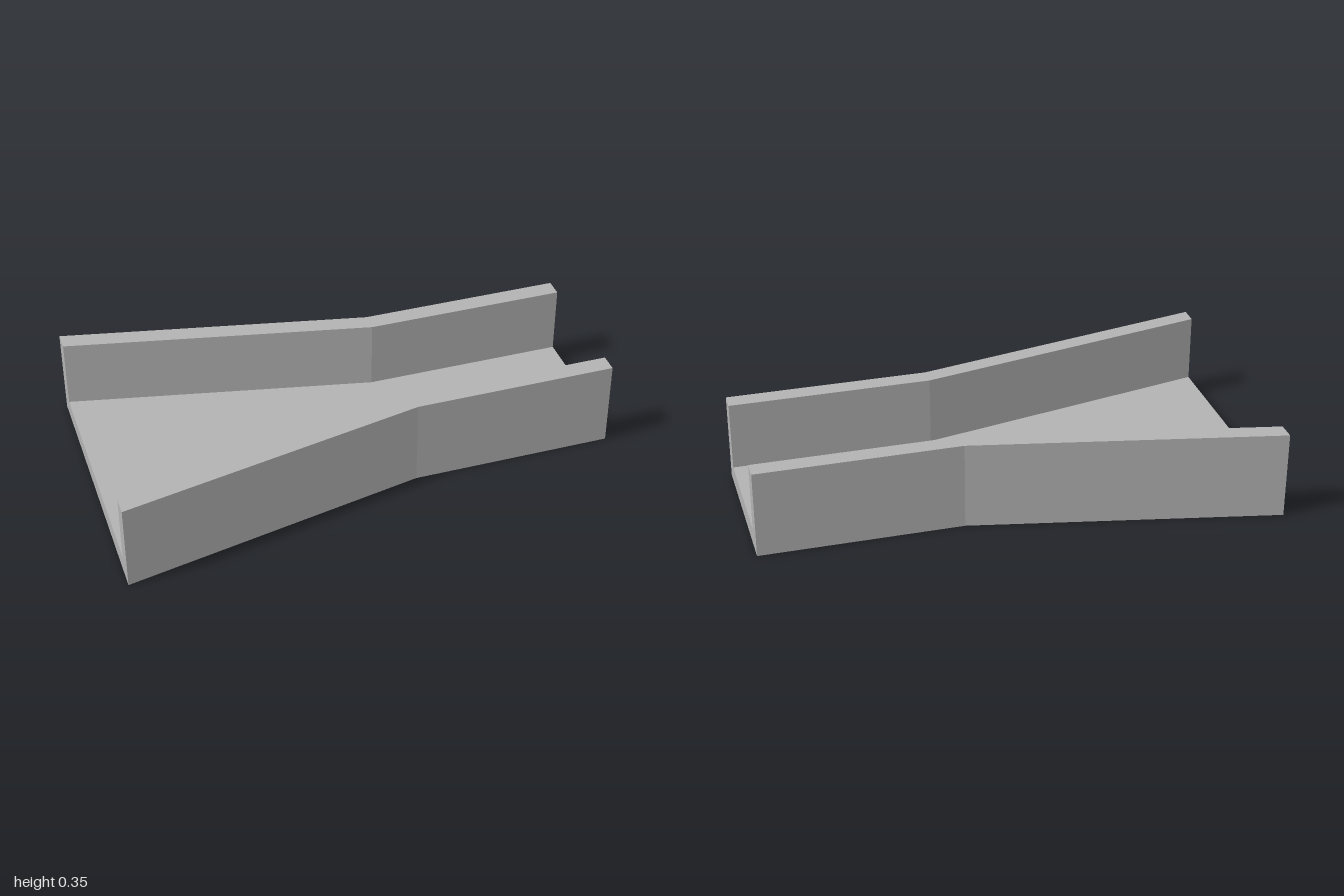
import * as THREE from 'three';

const HEIGHT = 0.35, FLOOR = 0.075, HOLE_DEPTH = 0.06;
// Half widths of the channel at the wide end, the bend and the narrow end
const STATIONS = [[-1, 0.56], [0.2, 0.31], [1, 0.31]];
const WALL = 0.073;

export function createModel() {
  const group = new THREE.Group();
  const grey = new THREE.MeshStandardMaterial({ color: 0xb3b3b3 });
  grey.name = 'grey';

  // Extrudes a plan outline upward from y0 to y1
  const slab = (name, points, y0, y1, holes = []) => {
    const shape = new THREE.Shape(points.map(([x, z]) => new THREE.Vector2(x, z)));
    shape.holes = holes;
    const geometry = new THREE.ExtrudeGeometry(shape, {
      depth: y1 - y0, bevelEnabled: false, curveSegments: 24,
    });
    geometry.rotateX(-Math.PI / 2).translate(0, y0, 0);
    const mesh = new THREE.Mesh(geometry, grey);
    mesh.name = name;
    group.add(mesh);
  };

  const edge = (side, inset = 0) => STATIONS.map(([x, w]) => [x, side * (w - inset)]);
  const outline = [...edge(-1), ...edge(1).reverse()];

  // Blind screw holes in the underside, two near each end
  const holes = [];
  for (const x of [-0.8, 0.8]) {
    for (const z of [-0.12, 0.12]) {
      holes.push(new THREE.Path().absarc(x, z, 0.04, 0, Math.PI * 2, true));
    }
  }

  // Floor: drilled lower layer and closed upper layer
  slab('drilledBase', outline, 0, HOLE_DEPTH, holes);
  slab('floor', outline, HOLE_DEPTH, FLOOR);

  // Side walls following the tapered outline
  slab('frontWall', [...edge(-1), ...edge(-1, WALL).reverse()], FLOOR, HEIGHT);
  slab('backWall', [...edge(1), ...edge(1, WALL).reverse()], FLOOR, HEIGHT);

  return group;
}
